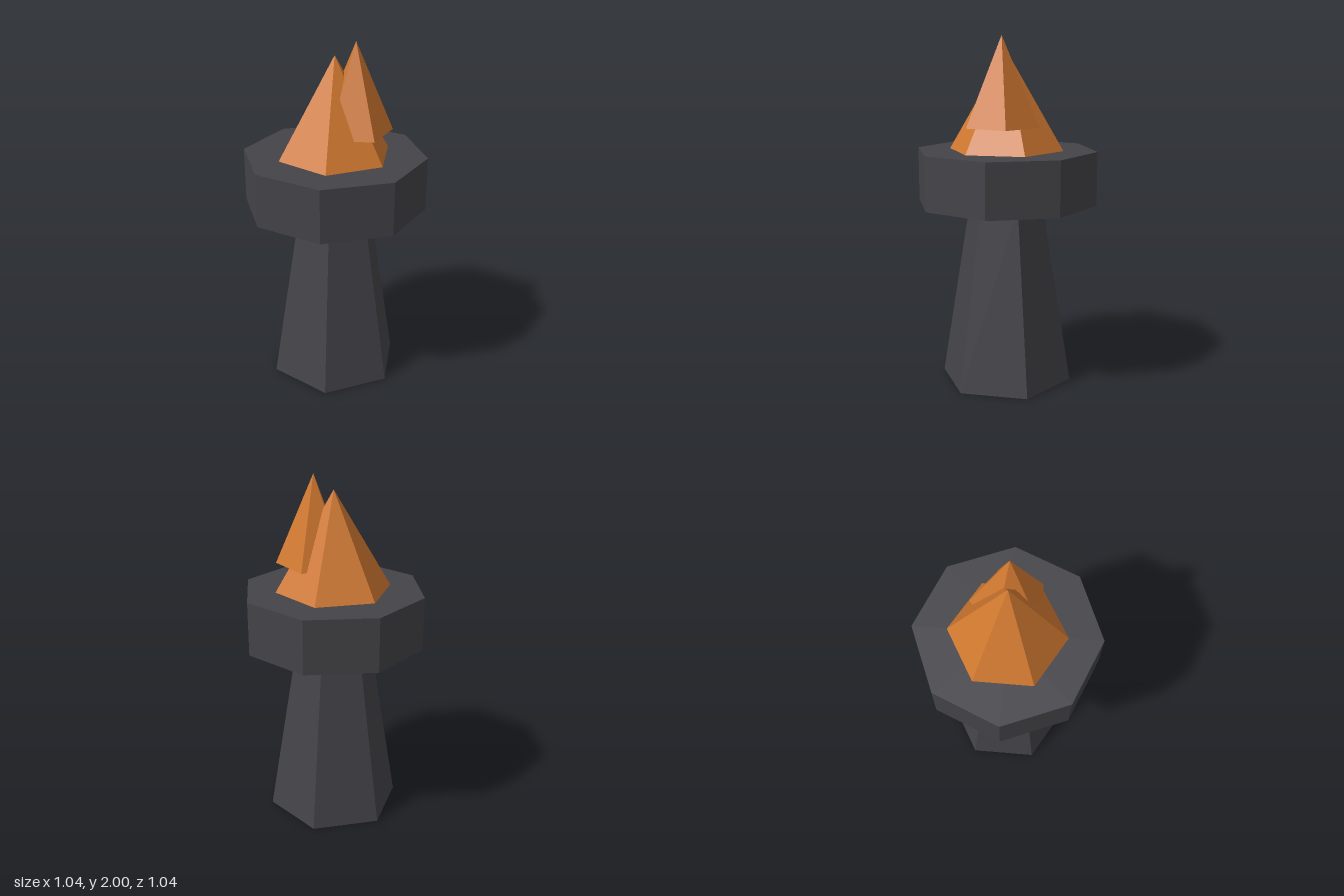
import * as THREE from 'three';

export function createModel() {
  const model = new THREE.Group();
  const iron = new THREE.MeshStandardMaterial({ color: 0x444348, flatShading: true });
  iron.name = 'dark iron';
  const fire = new THREE.MeshStandardMaterial({ color: 0xd07830, flatShading: true });
  fire.name = 'flame orange';

  // Faceted cylinder or cone standing between two heights
  function prism(name, material, sides, rTop, rBottom, y0, y1) {
    const geometry = rTop > 0
      ? new THREE.CylinderGeometry(rTop, rBottom, y1 - y0, sides)
      : new THREE.ConeGeometry(rBottom, y1 - y0, sides);
    const mesh = new THREE.Mesh(geometry, material);
    mesh.name = name;
    mesh.position.y = (y0 + y1) / 2;
    model.add(mesh);
    return mesh;
  }

  // Tapered hexagonal stand and octagonal bowl
  prism('stand', iron, 6, 0.213, 0.385, 0, 1.055);
  prism('bowl', iron, 8, 0.522, 0.522, 1.053, 1.36);

  // Main flame, with a smaller five-sided flame leaning out of its side
  prism('mainFlame', fire, 6, 0, 0.33, 1.36, 1.92);
  const sideFlame = prism('sideFlame', fire, 5, 0, 0.213, 1.5, 2);
  sideFlame.position.x = 0.115;
  sideFlame.rotation.y = Math.PI;

  return model;
}
